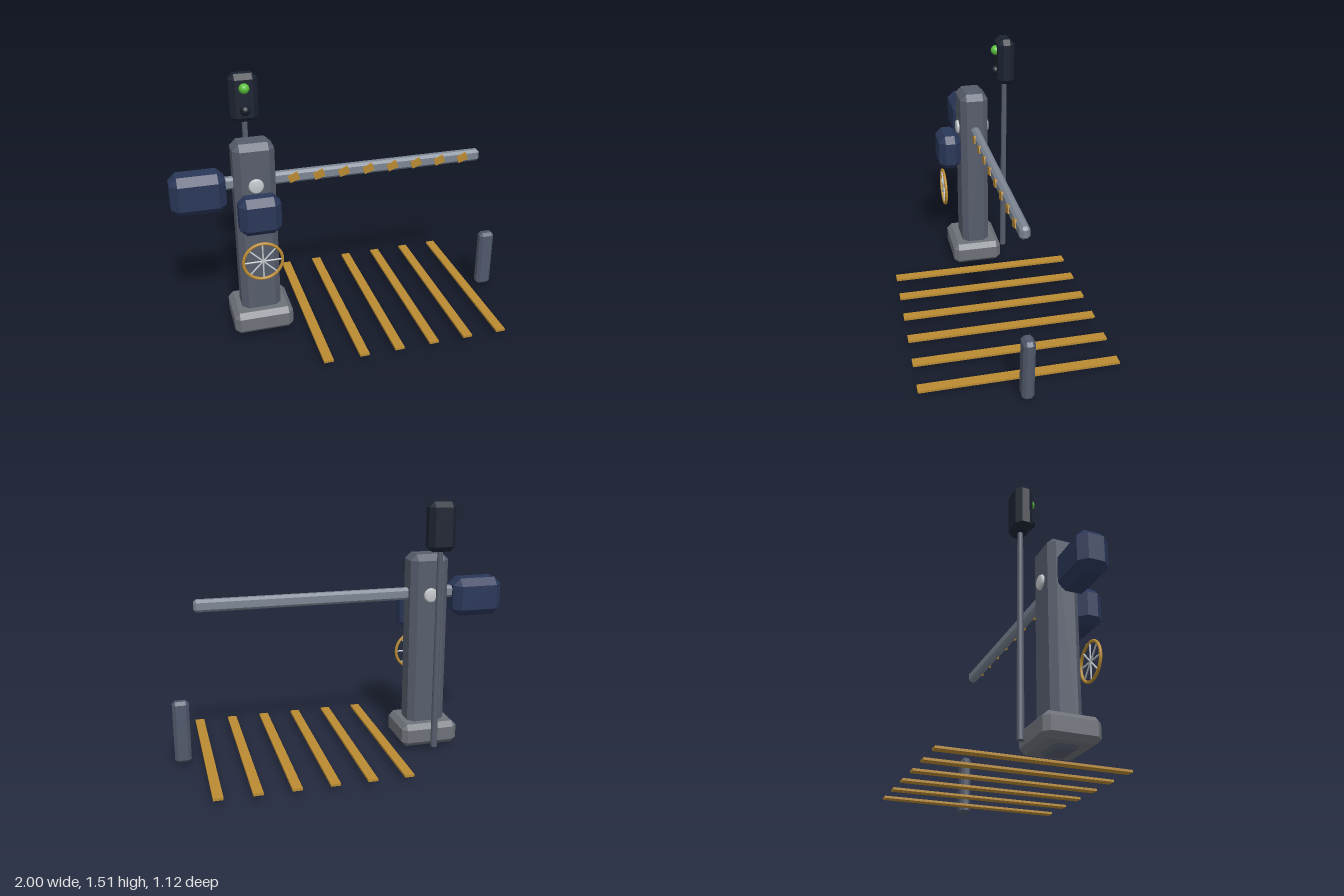
import * as THREE from 'three';
import { ConvexGeometry } from 'three/addons/geometries/ConvexGeometry.js';

const mat = (color, flatShading = false) => new THREE.MeshStandardMaterial({ color, flatShading });
const M = {
  post: mat(0x575d6c, true),
  base: mat(0x6d7178, true),
  arm: mat(0x7b8592, true),
  bollard: mat(0x50586a, true),
  navy: mat(0x2a3759, true),
  head: mat(0x1c2331, true),
  gold: mat(0xb98a32),
  metal: mat(0xc4c8cc),
  pole: mat(0x565c6c),
  green: mat(0x5abf3c),
  unlit: mat(0x171c27),
};

// Box with every edge cut at 45 degrees
function chamferBox(w, h, d, c) {
  const pts = [];
  for (const x of [-1, 1]) for (const y of [-1, 1]) for (const z of [-1, 1]) {
    const a = w / 2, b = h / 2, e = d / 2;
    pts.push(new THREE.Vector3(x * a, y * (b - c), z * (e - c)));
    pts.push(new THREE.Vector3(x * (a - c), y * b, z * (e - c)));
    pts.push(new THREE.Vector3(x * (a - c), y * (b - c), z * e));
  }
  return new ConvexGeometry(pts);
}

export function createModel() {
  const model = new THREE.Group();
  model.name = 'levelCrossingBarrier';
  const X = -0.53; // centre line of the post

  const add = (name, geometry, material, x, y, z, parent = model) => {
    const mesh = new THREE.Mesh(geometry, material);
    mesh.name = name;
    mesh.position.set(x, y, z);
    parent.add(mesh);
    return mesh;
  };
  // Chamfered block given by its limits on each axis
  const block = (name, [x0, x1], [y0, y1], [z0, z1], c, material) =>
    add(name, chamferBox(x1 - x0, y1 - y0, z1 - z0, c), material,
      (x0 + x1) / 2, (y0 + y1) / 2, (z0 + z1) / 2);

  // Post and its housings
  block('base', [-0.706, -0.354], [0.018, 0.158], [-0.157, 0.157], 0.03, M.base);
  block('post', [-0.647, -0.413], [0, 1.192], [-0.087, 0.087], 0.036, M.post);
  block('motorBox', [-0.648, -0.412], [0.7, 0.922], [0.088, 0.228], 0.04, M.navy);

  // Barrier arm with counterweight
  block('arm', [-0.74, 0.85], [0.915, 0.986], [-0.027, 0.027], 0.015, M.arm);
  block('counterweight', [-1, -0.692], [0.8, 1.032], [-0.087, 0.087], 0.043, M.navy);
  for (let i = 0; i < 8; i++) {
    const stripe = add('armStripe', new THREE.BoxGeometry(0.062, 0.045, 0.012), M.gold,
      -0.303 + i * 0.148, 0.951, 0.027);
    stripe.rotation.z = 0.35;
  }

  // Pivot axle with rounded ends
  const axleProfile = [[0, -0.105], [0.033, -0.104], [0.04, -0.099], [0.043, -0.09],
    [0.043, 0.09], [0.04, 0.099], [0.033, 0.104], [0, 0.105]];
  add('pivot', new THREE.LatheGeometry(axleProfile.map(p => new THREE.Vector2(...p)), 32),
    M.metal, X, 0.951, 0).rotation.x = Math.PI / 2;

  // Hand wheel
  const wheel = new THREE.Group();
  wheel.name = 'handWheel';
  wheel.position.set(X, 0.53, 0.193);
  model.add(wheel);
  add('wheelRim', new THREE.TorusGeometry(0.112, 0.009, 12, 48), M.gold, 0, 0, 0, wheel);
  for (let i = 0; i < 4; i++) {
    add('wheelSpoke', new THREE.CylinderGeometry(0.005, 0.005, 0.222, 8), M.metal, 0, 0, 0, wheel)
      .rotation.z = i * Math.PI / 4;
  }

  // Signal on its own pole
  add('signalPole', new THREE.CylinderGeometry(0.016, 0.02, 1.22, 16), M.pole, X, 0.65, -0.21);
  block('signalHead', [-0.611, -0.449], [1.233, 1.515], [-0.26, -0.157], 0.03, M.head);
  add('greenLamp', new THREE.SphereGeometry(0.03, 24, 16), M.green, X, 1.438, -0.154);
  add('unlitLamp', new THREE.SphereGeometry(0.03, 24, 16), M.unlit, X, 1.31, -0.154);

  // Crossing stripes on the road
  for (let i = 0; i < 6; i++) {
    add('roadStripe', new THREE.BoxGeometry(0.056, 0.014, 1.125), M.gold, -0.249 + i * 0.2117, 0.042, 0);
  }

  // Bollard at the far side
  block('bollard', [0.905, 1], [0.022, 0.397], [-0.033, 0.033], 0.018, M.bollard);

  return model;
}
